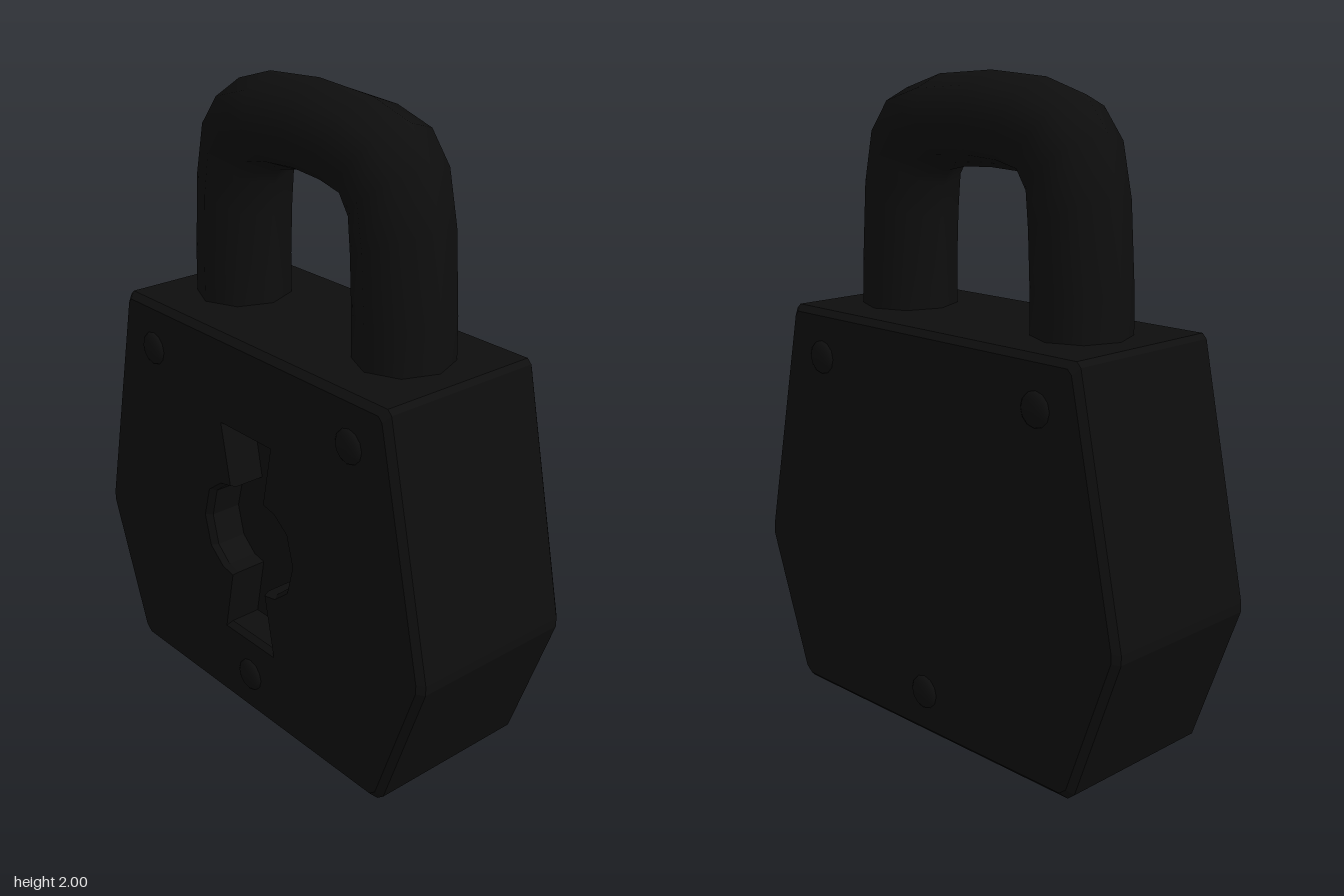
import * as THREE from 'three';

const material = new THREE.MeshStandardMaterial({ color: 0x0e0e0e });
const V2 = (x, y) => new THREE.Vector2(x, y);

// Skin through closed rings of [x, y, z] points; front side is tangent x travel.
function loft(rings, flat) {
  const n = rings[0].length, index = [];
  for (let j = 0; j < rings.length - 1; j++) {
    for (let i = 0; i < n; i++) {
      const a = j * n + i, b = j * n + (i + 1) % n;
      index.push(a, b, b + n, a, b + n, a + n);
    }
  }
  let geo = new THREE.BufferGeometry();
  geo.setAttribute('position', new THREE.Float32BufferAttribute(rings.flat(2), 3));
  geo.setIndex(index);
  if (flat) geo = geo.toNonIndexed();
  geo.computeVertexNormals();
  return geo;
}

// Closed counter-clockwise outline from its right half, listed bottom to top.
const mirrored = half => [...half, ...half.map(([x, y]) => [-x, y]).reverse()].map(p => V2(...p));
const scaled = (pts, sx, sy, cy = 0.63) => pts.map(p => V2(p.x * sx, cy + (p.y - cy) * sy));
const ring = (pts, z) => pts.map(p => [p.x, p.y, z]);

export function createModel() {
  const group = new THREE.Group();
  const add = (name, geo, parent = group) => {
    const mesh = new THREE.Mesh(geo, material);
    mesh.name = name;
    parent.add(mesh);
    return mesh;
  };

  // Six-sided body with chamfered edges
  const depth = 0.288, chamfer = 0.02;
  const outline = mirrored([[0.58, 0], [0.605, 0.02], [0.765, 0.465], [0.765, 0.495], [0.605, 1.255], [0.59, 1.27]]);
  const face = scaled(outline, 0.975, 0.97);
  const body = new THREE.Group();
  body.name = 'body';
  group.add(body);
  add('bodySides', loft([
    ring(face, -depth), ring(outline, chamfer - depth),
    ring(outline, depth - chamfer), ring(face, depth),
  ], true), body);

  // Keyhole: a round middle with a flared slot above and below
  const rim = mirrored([
    [0.12, 0.265], [0.08, 0.47], [0.13, 0.48], [0.19, 0.53], [0.217, 0.63],
    [0.19, 0.73], [0.13, 0.775], [0.08, 0.785], [0.12, 0.985],
  ]);
  const inner = scaled(rim, 0.92, 0.96);
  const floorZ = 0.17;
  const front = new THREE.Shape(face);
  front.holes.push(new THREE.Path(rim));
  add('frontFace', new THREE.ShapeGeometry(front).translate(0, 0, depth), body);
  add('backFace', new THREE.ShapeGeometry(new THREE.Shape(face)).rotateY(Math.PI).translate(0, 0, -depth), body);
  add('keyholeWalls', loft([ring(rim, depth), ring(inner, depth - 0.018), ring(inner, floorZ)], true), body);
  add('keyholeFloor', new THREE.ShapeGeometry(new THREE.Shape(inner)).translate(0, 0, floorZ), body);

  // Shackle: eight-sided sections between outer and inner edge points
  const half = [
    [0.515, 1.2, 0.22, 1.2], [0.51, 1.4, 0.22, 1.4], [0.49, 1.67, 0.215, 1.55], [0.45, 1.84, 0.21, 1.65],
    [0.37, 1.94, 0.18, 1.7], [0.22, 1.985, 0.11, 1.715],
  ];
  const sections = [...half, [0, 2, 0, 1.72],
    ...half.map(([ox, oy, ix, iy]) => [-ox, oy, -ix, iy]).reverse()];
  add('shackle', loft(sections.map(([ox, oy, ix, iy]) => {
    const pts = [];
    for (let i = 0; i < 8; i++) {
      const a = i * Math.PI / 4, t = (1 + Math.cos(a)) / 2;
      const rz = ox === 0 ? 0.143 : 0.152;
      pts.push([ix + (ox - ix) * t, iy + (oy - iy) * t, -rz * Math.sin(a)]);
    }
    return pts;
  })));

  // Domed rivets on the front and back
  const dome = new THREE.SphereGeometry(0.053, 12, 5, 0, Math.PI * 2, 0, Math.PI / 2)
    .rotateX(Math.PI / 2).scale(1, 1, 0.4);
  for (const side of [1, -1]) {
    for (const [x, y] of [[-0.46, 1.12], [0.46, 1.12], [0, 0.14]]) {
      const rivet = add('rivet', dome);
      rivet.position.set(x, y, side * (depth - 0.001));
      if (side < 0) rivet.rotation.y = Math.PI;
    }
  }
  return group;
}
